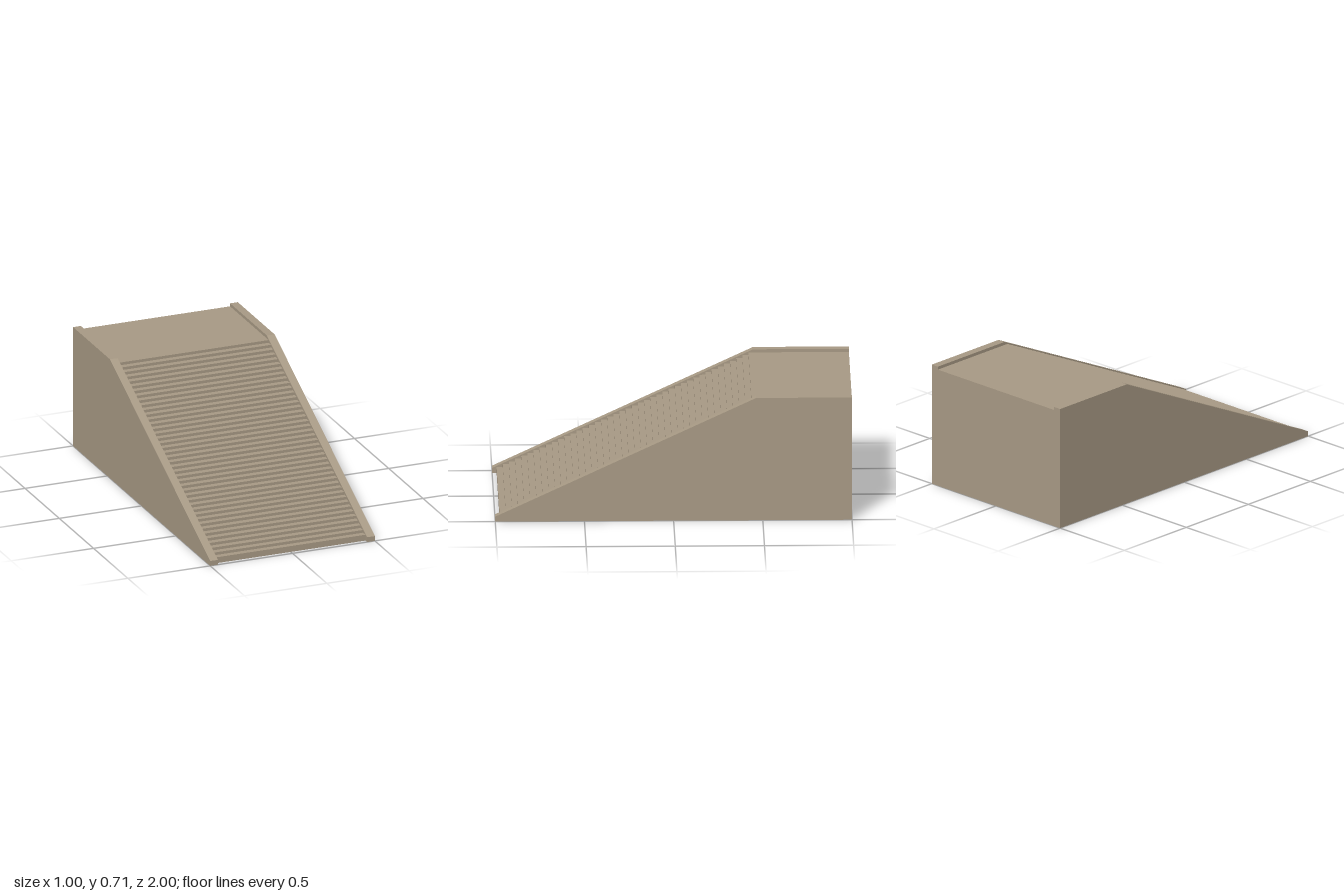
import * as THREE from 'three';

const material = new THREE.MeshStandardMaterial({ color: 0xa89a85, flatShading: true });

// Extrude a side profile of [z, y] points across x0..x1
function sideSlab(name, profile, x0, x1) {
  const shape = new THREE.Shape(profile.map(([z, y]) => new THREE.Vector2(-z, y)));
  const geometry = new THREE.ExtrudeGeometry(shape, { depth: x1 - x0, bevelEnabled: false });
  geometry.rotateY(Math.PI / 2);
  geometry.translate(x0, 0, 0);
  const mesh = new THREE.Mesh(geometry, material);
  mesh.name = name;
  return mesh;
}

export function createModel() {
  const group = new THREE.Group();
  group.name = 'staircase';

  // Side walls: sloped, then level beside the landing
  const wall = [[1, 0], [1, 0.029], [-0.463, 0.715], [-1, 0.715], [-1, 0]];
  group.add(sideSlab('leftWall', wall, 0.453, 0.5));
  group.add(sideSlab('rightWall', wall, -0.5, -0.453));

  // Steps and landing as one sawtooth profile
  const risers = 42, zFront = 0.975, zTop = -0.437, yFirst = 0.035, yTop = 0.697;
  const steps = [[zFront, 0]];
  for (let i = 0; i < risers; i++) {
    const t = i / (risers - 1);
    const z = THREE.MathUtils.lerp(zFront, zTop, t);
    const y = THREE.MathUtils.lerp(yFirst, yTop, t);
    if (i > 0) steps.push([z, steps[steps.length - 1][1]]);
    steps.push([z, y]);
  }
  steps.push([-1, yTop], [-1, 0]);
  group.add(sideSlab('stepsAndLanding', steps, -0.453, 0.453));

  return group;
}
